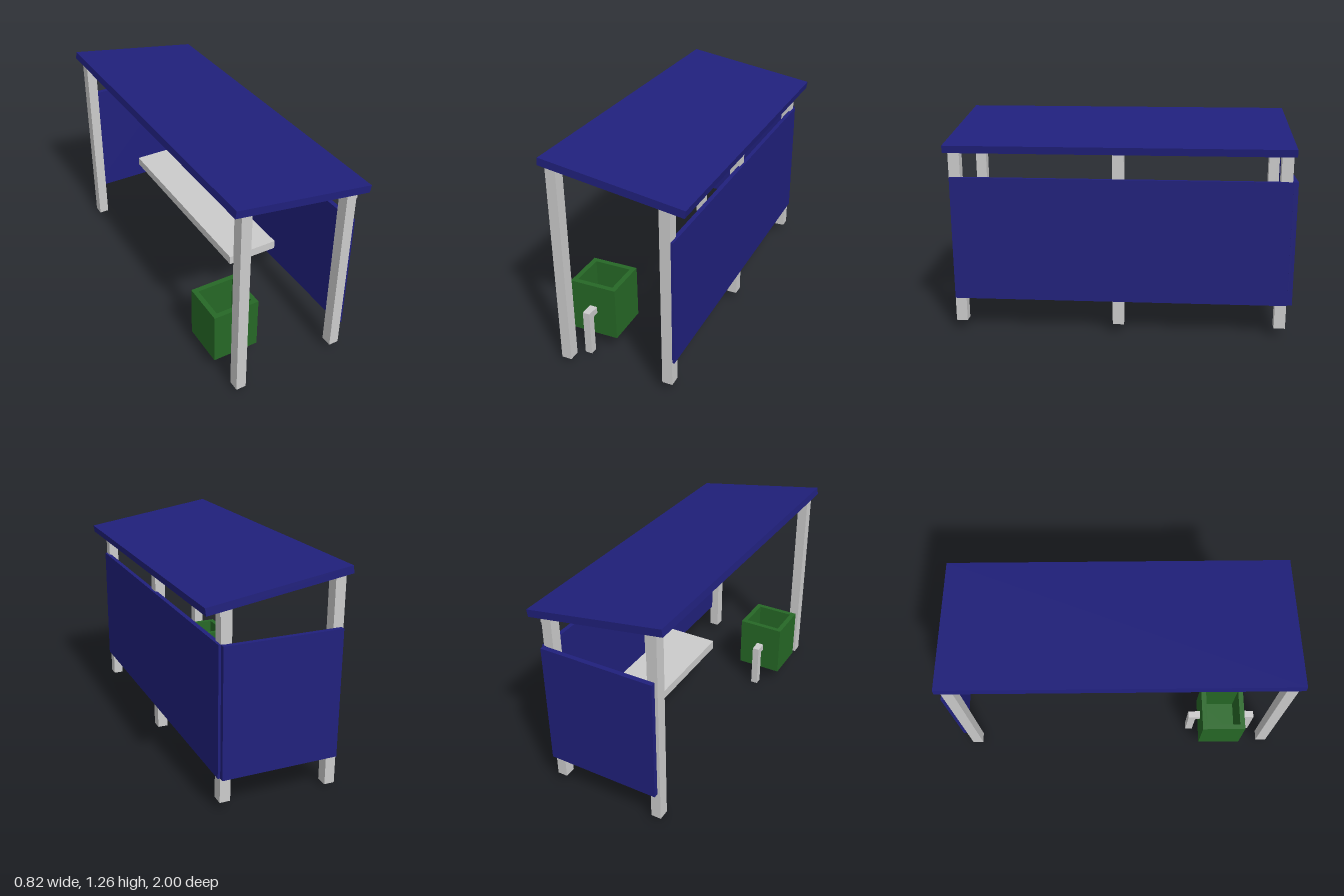
import * as THREE from 'three';

export function createModel() {
  const model = new THREE.Group();
  model.name = 'shelter';

  const grey = new THREE.MeshStandardMaterial({ color: 0xcccccc });
  const blue = new THREE.MeshStandardMaterial({ color: 0x20207c });
  const green = new THREE.MeshStandardMaterial({ color: 0x266826 });

  // Box given by its lower and upper limits on each axis
  function box(name, material, [x0, x1], [y0, y1], [z0, z1], parent = model) {
    const mesh = new THREE.Mesh(new THREE.BoxGeometry(x1 - x0, y1 - y0, z1 - z0), material);
    mesh.position.set((x0 + x1) / 2, (y0 + y1) / 2, (z0 + z1) / 2);
    mesh.name = name;
    parent.add(mesh);
    return mesh;
  }

  // Sloping roof slab
  const roof = new THREE.Mesh(new THREE.BoxGeometry(0.82, 0.043, 1.975), blue);
  roof.position.set(-0.002, 1.174, 0.0125);
  roof.rotation.z = -Math.atan2(0.125, 0.81);
  roof.name = 'roof';
  model.add(roof);

  // Tall posts on the open side, shorter posts on the walled side
  for (const z of [-0.935, 0.96]) box('tallPost', grey, [-0.37, -0.31], [0.02, 1.208], [z - 0.033, z + 0.033]);
  for (const z of [-0.935, 0.015, 0.96]) box('shortPost', grey, [0.26, 0.32], [0.053, 1.11], [z - 0.033, z + 0.033]);
  box('roofBeam', grey, [0.265, 0.325], [1.077, 1.108], [-0.968, 0.993]);

  // Wall panels
  box('sidePanel', blue, [0.308, 0.333], [0.2, 0.935], [-0.97, 0.99]);
  box('backPanel', blue, [-0.355, 0.32], [0.2, 0.935], [-1, -0.972]);

  // Bench
  box('benchSeat', grey, [-0.015, 0.308], [0.283, 0.338], [-0.972, 0.32]);

  // Open bin: floor and square tube wall
  const bin = new THREE.Group();
  bin.name = 'litterBin';
  const [bx, bz] = [[-0.4, -0.12], [0.535, 0.8]];
  const outline = (inset) => [
    new THREE.Vector2(bx[0] + inset, -bz[1] + inset), new THREE.Vector2(bx[1] - inset, -bz[1] + inset),
    new THREE.Vector2(bx[1] - inset, -bz[0] - inset), new THREE.Vector2(bx[0] + inset, -bz[0] - inset),
  ];
  const wallShape = new THREE.Shape(outline(0));
  wallShape.holes.push(new THREE.Path(outline(0.03)));
  const wallGeometry = new THREE.ExtrudeGeometry(wallShape, { depth: 0.32, bevelEnabled: false });
  wallGeometry.rotateX(-Math.PI / 2);
  const walls = new THREE.Mesh(wallGeometry, green);
  walls.position.y = 0.09;
  walls.name = 'binWalls';
  bin.add(walls);
  box('binFloor', green, [-0.375, -0.145], [0.09, 0.12], [0.56, 0.775], bin);

  // Bin legs with short arms reaching to the bin
  for (const [leg, arm] of [[[0.835, 0.88], [0.8, 0.835]], [[0.46, 0.505], [0.505, 0.535]]]) {
    box('binLeg', grey, [-0.285, -0.243], [0, 0.273], leg, bin);
    box('binArm', grey, [-0.285, -0.24], [0.232, 0.273], arm, bin);
  }
  model.add(bin);

  return model;
}
